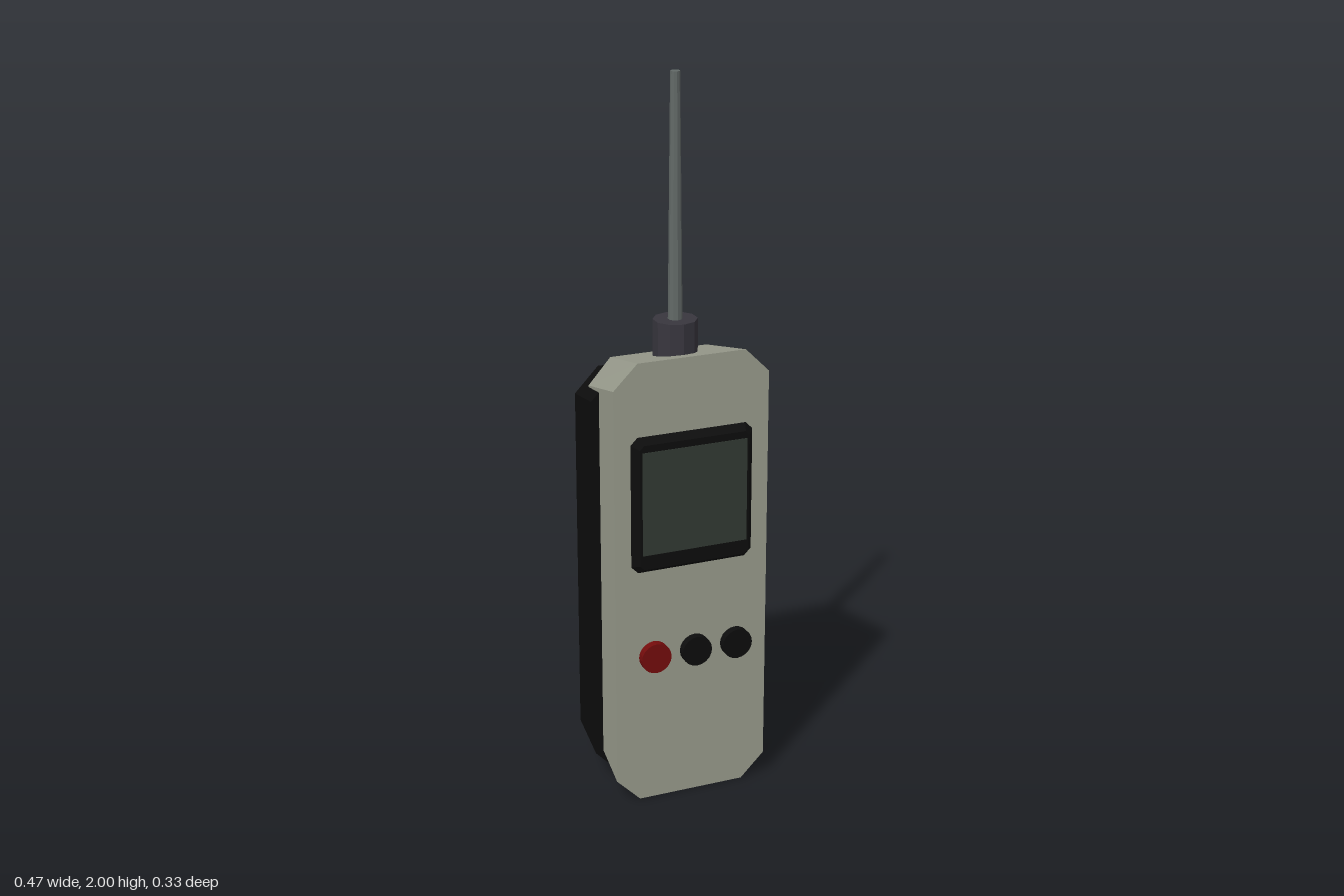
import * as THREE from 'three';

const flat = (name, color) => {
  const m = new THREE.MeshStandardMaterial({ color, flatShading: true });
  m.name = name;
  return m;
};

// Chamfered rectangle: half width w, from y0 to y1, corner cuts cx by cy (counter-clockwise from the front)
const section = (z, w, y0, y1, cx, cy) => [
  [w - cx, y0, z], [w, y0 + cy, z], [w, y1 - cy, z], [w - cx, y1, z],
  [cx - w, y1, z], [-w, y1 - cy, z], [-w, y0 + cy, z], [cx - w, y0, z],
];

// Closed solid between a front and a back section
function loft(front, back) {
  const pos = [];
  const tri = (a, b, c) => pos.push(...a, ...b, ...c);
  const n = front.length;
  for (let i = 0; i < n; i++) {
    const j = (i + 1) % n;
    tri(front[i], back[i], back[j]);
    tri(front[i], back[j], front[j]);
    if (i > 0 && i < n - 1) {
      tri(front[0], front[i], front[j]);
      tri(back[0], back[j], back[i]);
    }
  }
  const g = new THREE.BufferGeometry();
  g.setAttribute('position', new THREE.Float32BufferAttribute(pos, 3));
  g.computeVertexNormals();
  return g;
}

export function createModel() {
  const group = new THREE.Group();
  const shell = flat('grey shell', 0x999c8d);
  const black = flat('black plastic', 0x0d0d0d);
  const glass = flat('dark green glass', 0x323a33);
  const red = flat('red button', 0x740c0c);
  const collar = flat('charcoal collar', 0x38363e);
  const metal = flat('antenna grey', 0x626967);

  const add = (name, geometry, material, x = 0, y = 0, z = 0) => {
    const mesh = new THREE.Mesh(geometry, material);
    mesh.name = name;
    mesh.position.set(x, y, z);
    group.add(mesh);
    return mesh;
  };

  // Tapered casing and the wider battery cover on its back
  add('casing', loft(
    section(0.12, 0.221, 0, 1.275, 0.068, 0.068),
    section(-0.11, 0.203, 0.047, 1.22, 0.063, 0.072)), shell);
  add('batteryCover', loft(
    section(0.012 - 0.024, 0.233, 0.02, 1.21, 0.07, 0.072),
    section(-0.165, 0.222, 0.05, 1.18, 0.067, 0.07)), black);

  // Display frame with sloped rim, and its glass
  add('screenFrame', loft(
    section(0.143, 0.157, 0.702, 1.055, 0.012, 0.012),
    section(0.119, 0.175, 0.685, 1.072, 0.02, 0.02)), black);
  add('screen', new THREE.BoxGeometry(0.3, 0.292, 0.003), glass, 0, 0.889, 0.143);

  // Row of three round buttons
  [-1, 0, 1].forEach((i) => {
    const b = add(i < 0 ? 'redButton' : 'blackButton',
      new THREE.CylinderGeometry(0.043, 0.043, 0.022, 20), i < 0 ? red : black, i * 0.119, 0.445, 0.152);
    b.rotation.x = Math.PI / 2;
  });

  // Antenna and its collar
  add('antennaCollar', new THREE.CylinderGeometry(0.06, 0.06, 0.145, 10), collar, 0, 1.2725, 0.005);
  add('antenna', new THREE.CylinderGeometry(0.013, 0.02, 0.7, 10), metal, 0, 1.65, 0.005);

  return group;
}
